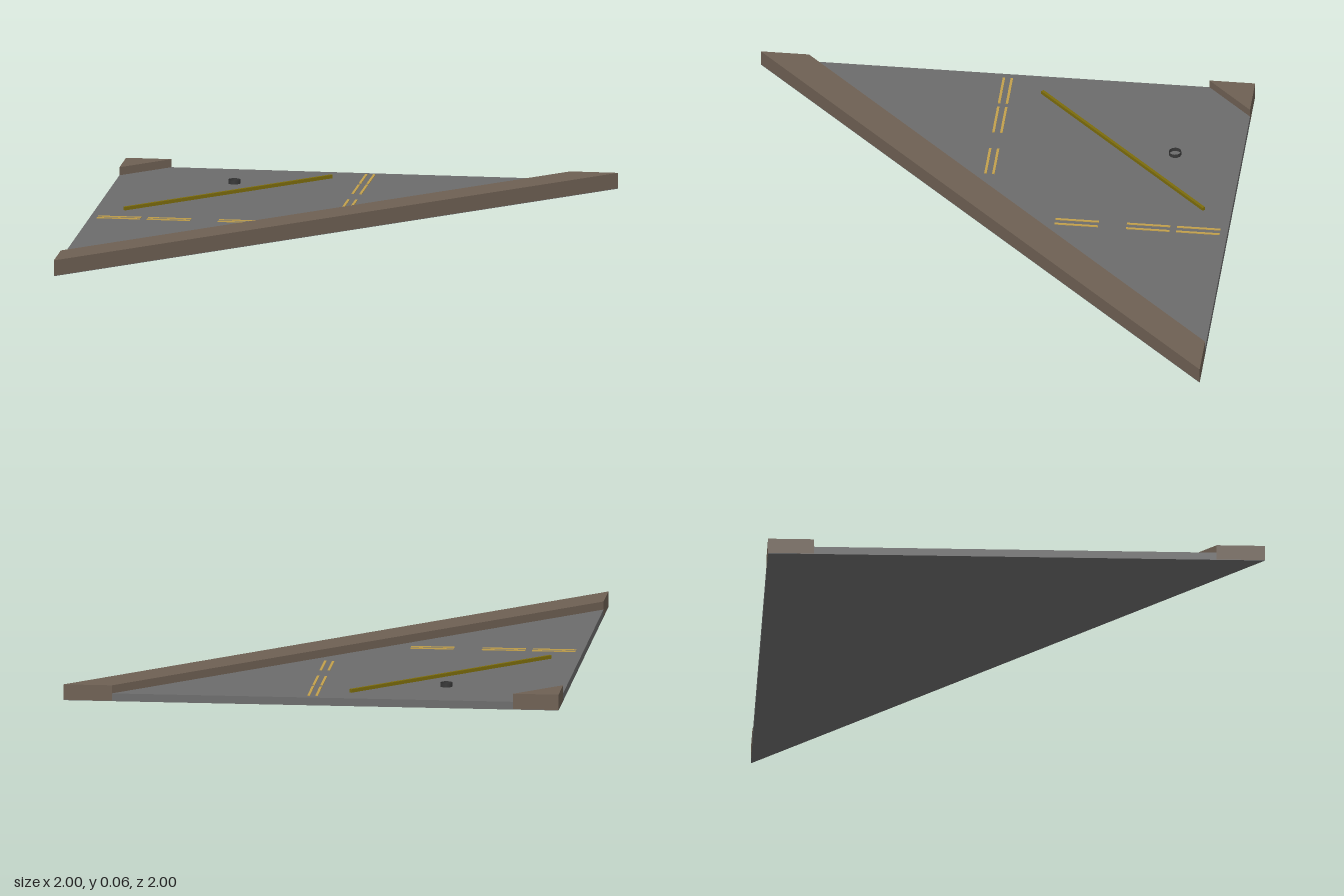
import * as THREE from 'three';

const mat = (name, color, side = THREE.FrontSide) => {
  const m = new THREE.MeshStandardMaterial({ color, side });
  m.name = name;
  return m;
};

export function createModel() {
  const group = new THREE.Group();
  group.name = 'roadCornerTile';
  const asphalt = mat('asphalt grey', 0x6c6c6c);
  const kerb = mat('kerb brown', 0x6e6053);
  const paint = mat('lane yellow', 0xc2a04c);
  const olive = mat('divider olive', 0x7c6c0c);
  const dark = mat('drain dark', 0x383838, THREE.DoubleSide);

  const TOP = 0.065, ROAD = 0.032, BASE = 0.002;

  const add = (name, geometry, material, x = 0, y = 0, z = 0) => {
    const mesh = new THREE.Mesh(geometry, material);
    mesh.name = name;
    mesh.position.set(x, y, z);
    group.add(mesh);
    return mesh;
  };

  // Upright prism from a ground outline given as [x, z] corners
  const prism = (name, outline, y0, y1, material) => {
    const shape = new THREE.Shape(outline.map(([x, z]) => new THREE.Vector2(x, -z)));
    const geo = new THREE.ExtrudeGeometry(shape, { depth: y1 - y0, bevelEnabled: false });
    geo.rotateX(-Math.PI / 2);
    add(name, geo, material, 0, y0, 0);
  };

  // Tile base, road surface, long pavement and small corner pavement
  const inner = 0.805, corner = -0.815;
  prism('tileBase', [[-1, -1], [-1, 1], [1, -1]], 0, BASE, asphalt);
  prism('road', [[-1, corner], [-1, inner], [inner, -1], [corner, -1]], BASE, ROAD, asphalt);
  prism('longPavement', [[-1, inner], [-1, 1], [1, -1], [inner, -1]], BASE, TOP, kerb);
  prism('cornerPavement', [[-1, -1], [-1, corner], [corner, -1]], BASE, TOP, kerb);

  // Double dashed lane lines, mirrored across the tile diagonal
  const length = 0.176, width = 0.01, thick = 0.003;
  for (const start of [-0.97, -0.767, -0.478]) {
    for (const offset of [-0.019, 0.013]) {
      const mid = start + length / 2;
      add('laneDash', new THREE.BoxGeometry(length, thick, width), paint, mid, ROAD + thick / 2, offset);
      add('laneDash', new THREE.BoxGeometry(width, thick, length), paint, offset, ROAD + thick / 2, mid);
    }
  }

  // Low divider running diagonally across the road
  const divider = add('divider', new THREE.BoxGeometry(1.04, 0.014, 0.012), olive, -0.515, ROAD + 0.007, -0.52);
  divider.rotation.y = Math.PI / 4;

  // Small open drain ring
  add('drainRing', new THREE.CylinderGeometry(0.025, 0.025, 0.016, 12, 1, true), dark, -0.52, ROAD + 0.008, -0.73);

  return group;
}
